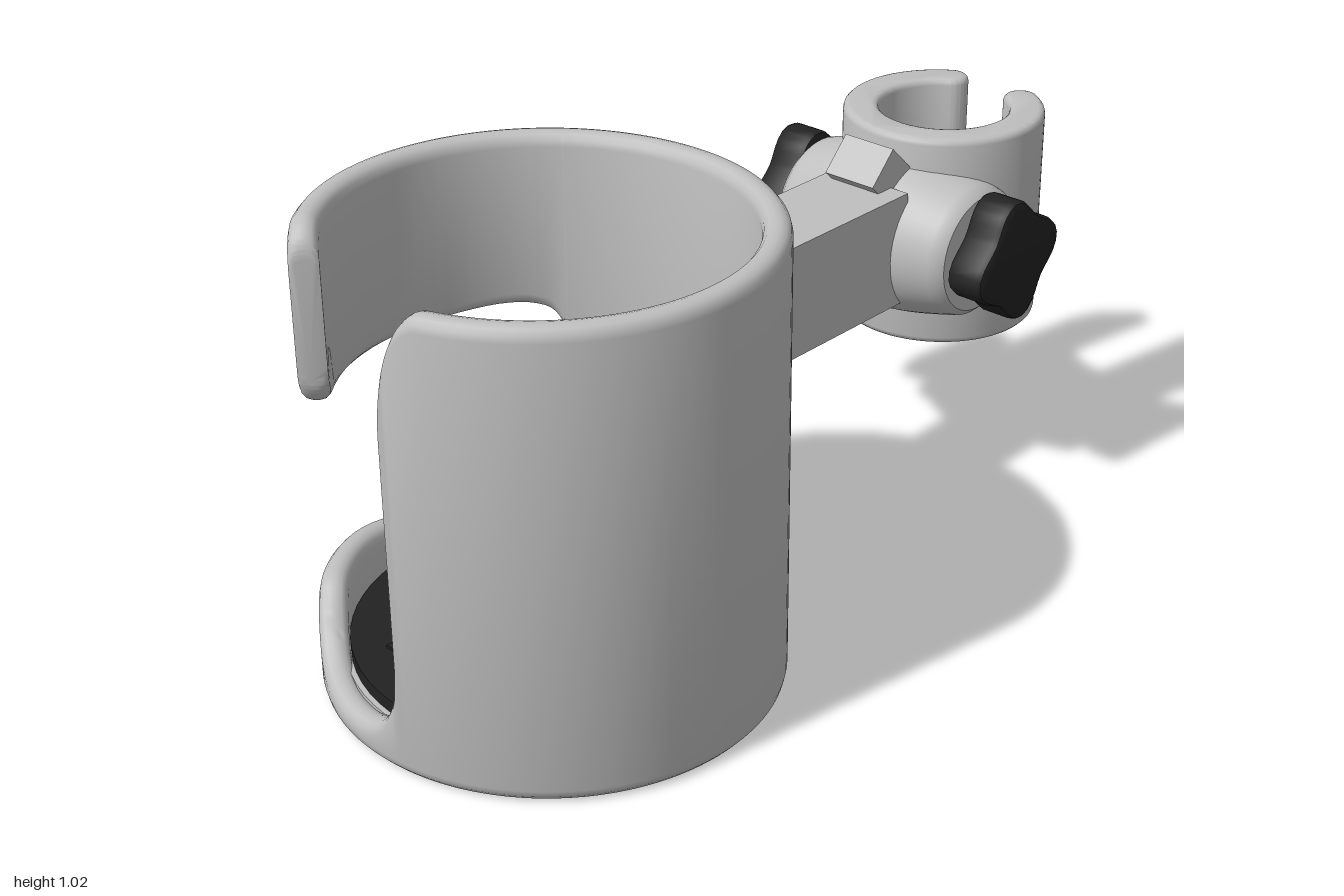
import * as THREE from 'three';
import { toCreasedNormals, mergeVertices } from 'three/addons/utils/BufferGeometryUtils.js';

const grey = new THREE.MeshStandardMaterial({ color: 0xbfbfbf });
grey.name = 'light grey plastic';
const black = new THREE.MeshStandardMaterial({ color: 0x222222 });
black.name = 'black rubber';

const CUP_Z = 0.52, TOP = 1.02;

function add(parent, name, geometry, material, x = 0, y = 0, z = 0) {
  const mesh = new THREE.Mesh(geometry, material);
  mesh.name = name;
  mesh.position.set(x, y, z);
  parent.add(mesh);
  return mesh;
}

// Rounded wall section between heights y0 and y1, as [thickness fraction, height]
function section(y0, y1) {
  const b = 0.028, pts = [];
  const corner = (f, y, sx, sy, start) => {
    for (let k = 0; k <= 3; k++) {
      const a = start + (k / 3) * Math.PI / 2;
      pts.push([f + sx * 0.4 * (1 - Math.abs(Math.cos(a))), y + sy * b * (1 - Math.abs(Math.sin(a)))]);
    }
  };
  corner(1, y0, -1, 1, -Math.PI / 2);
  corner(1, y1, -1, -1, 0);
  corner(0, y1, 1, -1, Math.PI / 2);
  corner(0, y0, 1, 1, Math.PI);
  return pts;
}

// Sweeps the wall section round the cup; stations are [angle in degrees, y0, y1]
function wall(stations) {
  const pos = [], idx = [], n = 16;
  for (const [deg, y0, y1] of stations) {
    const a = deg * Math.PI / 180;
    for (const [f, y] of section(y0, y1)) {
      pos.push((0.43 + 0.06 * f) * Math.sin(a), y, CUP_Z + (0.42 + 0.06 * f) * Math.cos(a));
    }
  }
  const last = (stations.length - 1) * n;
  for (let i = 0; i < last; i += n) {
    for (let j = 0; j < n; j++) {
      const k = (j + 1) % n;
      idx.push(i + j, i + n + j, i + n + k, i + j, i + n + k, i + k);
    }
  }
  for (let j = 1; j < n - 1; j++) idx.push(0, j, j + 1, last, last + j + 1, last + j);
  const g = new THREE.BufferGeometry();
  g.setAttribute('position', new THREE.Float32BufferAttribute(pos, 3));
  g.setIndex(idx);
  return toCreasedNormals(g, 0.7);
}

// Smooth edge line through [angle, height] points
function edge(points) {
  const curve = new THREE.CatmullRomCurve3(points.map(([a, y]) => new THREE.Vector3(a, y * 100, 0)));
  return curve.getPoints((points.length - 1) * 4).map(p => [p.x, p.y / 100]);
}

// Height lost to a rounded corner, t running 0 to 1
function drop(t, r) {
  const c = Math.min(1, Math.max(0, t));
  return r * (1 - Math.sqrt(1 - c * c));
}

function buildCup() {
  const cup = new THREE.Group();
  cup.name = 'cup';

  // Full-height wall
  const mainAngles = [6, 6.2, 6.8, 8, 10, 13, 18, 24];
  for (let a = 36; a < 219; a += 12) mainAngles.push(a);
  mainAngles.push(219);
  add(cup, 'mainWall', wall(edge(mainAngles.map(a => [a, 0])).map(([a]) =>
    [a, 0, TOP - drop((18 - a) / 12, 0.25)])), grey);

  // Upper band over the side window
  const band = edge([[-141, 0.53], [-140, 0.575], [-137, 0.61], [-132, 0.625], [-125, 0.63], [-110, 0.625],
    [-95, 0.62], [-80, 0.62], [-65, 0.62], [-51, 0.62], [-47, 0.62], [-44.5, 0.62], [-43, 0.62], [-42.2, 0.62], [-42, 0.62]]);
  add(cup, 'upperBand', wall(band.map(([a, y]) => {
    const d = drop((a + 51) / 9, 0.07);
    return [a, y + d, TOP - d];
  })), grey);

  // Low lip under the window and front gap
  const lip = edge([[-141, 0.24], [-140, 0.19], [-136, 0.15], [-128, 0.13], [-116, 0.13], [-102, 0.15], [-88, 0.18],
    [-72, 0.205], [-56, 0.21], [-48, 0.2], [-43, 0.165], [-38, 0.12], [-32, 0.088], [-24, 0.07], [-14, 0.067],
    [-6, 0.075], [0, 0.105], [3.5, 0.15], [5.3, 0.2], [6, 0.27]]);
  add(cup, 'lowerLip', wall(lip.map(([a, y]) => [a, 0, y])), grey);

  // Floor and ribbed mat
  add(cup, 'floor', new THREE.CylinderGeometry(0.44, 0.44, 0.07, 64), grey, 0, 0.036, CUP_Z).scale.z = 0.98;
  add(cup, 'mat', new THREE.CylinderGeometry(0.428, 0.428, 0.03, 64), black, 0, 0.085, CUP_Z).scale.z = 0.98;
  for (const [x, z, w] of [[0.05, 0.23, 0.5], [0.02, 0.36, 0.68], [-0.17, 0.51, 0.34], [0.19, 0.49, 0.36],
    [0.2, 0.58, 0.3], [-0.14, 0.69, 0.3], [0.18, 0.71, 0.36], [0.04, 0.81, 0.46]]) {
    add(cup, 'matRib', new THREE.BoxGeometry(w, 0.008, 0.014), black, x, 0.102, z);
  }
  return cup;
}

// Open C-shaped ring with rounded tips, standing on a vertical axis
function ringGeometry(outer, inner, height) {
  const s = new THREE.Shape(), gap = 0.56, mid = (outer + inner) / 2, cap = (outer - inner) / 2;
  const a = Math.PI / 2 + gap, b = Math.PI * 2.5 - gap;
  s.absarc(0, 0, outer, a, b, false);
  s.absarc(mid * Math.cos(b), mid * Math.sin(b), cap, b, b + Math.PI, false);
  s.absarc(0, 0, inner, b, a, true);
  s.absarc(mid * Math.cos(a), mid * Math.sin(a), cap, a + Math.PI, a + Math.PI * 2, false);
  const bevel = 0.015;
  const g = new THREE.ExtrudeGeometry(s, { depth: height - 2 * bevel, curveSegments: 32, bevelThickness: bevel,
    bevelSize: bevel, bevelOffset: -bevel, bevelSegments: 3 });
  g.translate(0, 0, bevel);
  g.rotateX(-Math.PI / 2);
  return toCreasedNormals(g, 0.6);
}

// Barrel on a sideways axis, its back hollowed to stay inside the ring wall
function collarGeometry(ringDz) {
  const pts = [[0, -0.24], [0.08, -0.24], [0.135, -0.24], [0.15, -0.225]];
  for (let i = -8; i <= 8; i++) pts.push([0.155 + 0.035 * Math.cos(i / 8 * Math.PI / 2), i * 0.026]);
  pts.push([0.15, 0.225], [0.135, 0.24], [0.08, 0.24], [0, 0.24]);
  const g = new THREE.LatheGeometry(pts.map(p => new THREE.Vector2(...p)), 48);
  g.rotateZ(-Math.PI / 2);
  const p = g.attributes.position;
  for (let i = 0; i < p.count; i++) {
    const x = p.getX(i);
    p.setZ(i, Math.max(p.getZ(i), ringDz + Math.sqrt(Math.max(0, 0.19 * 0.19 - x * x))));
  }
  g.deleteAttribute('uv');
  g.deleteAttribute('normal');
  return toCreasedNormals(mergeVertices(g), 0.6);
}

// Four-lobed hand knob, thickness along x
function knobGeometry() {
  const s = new THREE.Shape(), pts = [];
  for (let i = 0; i < 40; i++) {
    const a = i / 40 * Math.PI * 2, r = 0.132 + 0.018 * Math.cos(4 * a);
    pts.push(new THREE.Vector2(r * Math.cos(a), r * Math.sin(a)));
  }
  s.setFromPoints(pts);
  const g = new THREE.ExtrudeGeometry(s, { depth: 0.065, bevelThickness: 0.015, bevelSize: 0.015,
    bevelOffset: -0.015, bevelSegments: 2 });
  g.translate(0, 0, -0.0325);
  g.rotateZ(0.17);
  g.rotateY(Math.PI / 2);
  return toCreasedNormals(g, 0.6);
}

function buildClamp() {
  const clamp = new THREE.Group();
  clamp.name = 'clamp';
  const cx = -0.027;
  add(clamp, 'clampRing', ringGeometry(0.232, 0.15, 0.505), grey, cx, 0.36, -0.8);
  add(clamp, 'collar', collarGeometry(-0.165), grey, cx, 0.615, -0.635);
  add(clamp, 'lockTab', new THREE.BoxGeometry(0.135, 0.09, 0.1), grey, -0.02, 0.79, -0.515).rotation.x = 0.8;

  // Knob and spindle on each side
  for (const [side, z] of [[-1, -0.67], [1, -0.645]]) {
    add(clamp, 'knob', knobGeometry(), black, cx + side * 0.296, 0.622, z);
    const spindle = add(clamp, 'spindle', new THREE.CylinderGeometry(0.07, 0.07, 0.06, 24), black, cx + side * 0.24, 0.618, z);
    spindle.rotation.z = Math.PI / 2;
  }
  return clamp;
}

export function createModel() {
  const model = new THREE.Group();
  model.name = 'clampOnCupHolder';
  model.add(buildCup(), buildClamp());
  // Arm joining cup and clamp
  add(model, 'arm', new THREE.BoxGeometry(0.21, 0.265, 0.58), grey, -0.01, 0.633, -0.225);
  return model;
}
